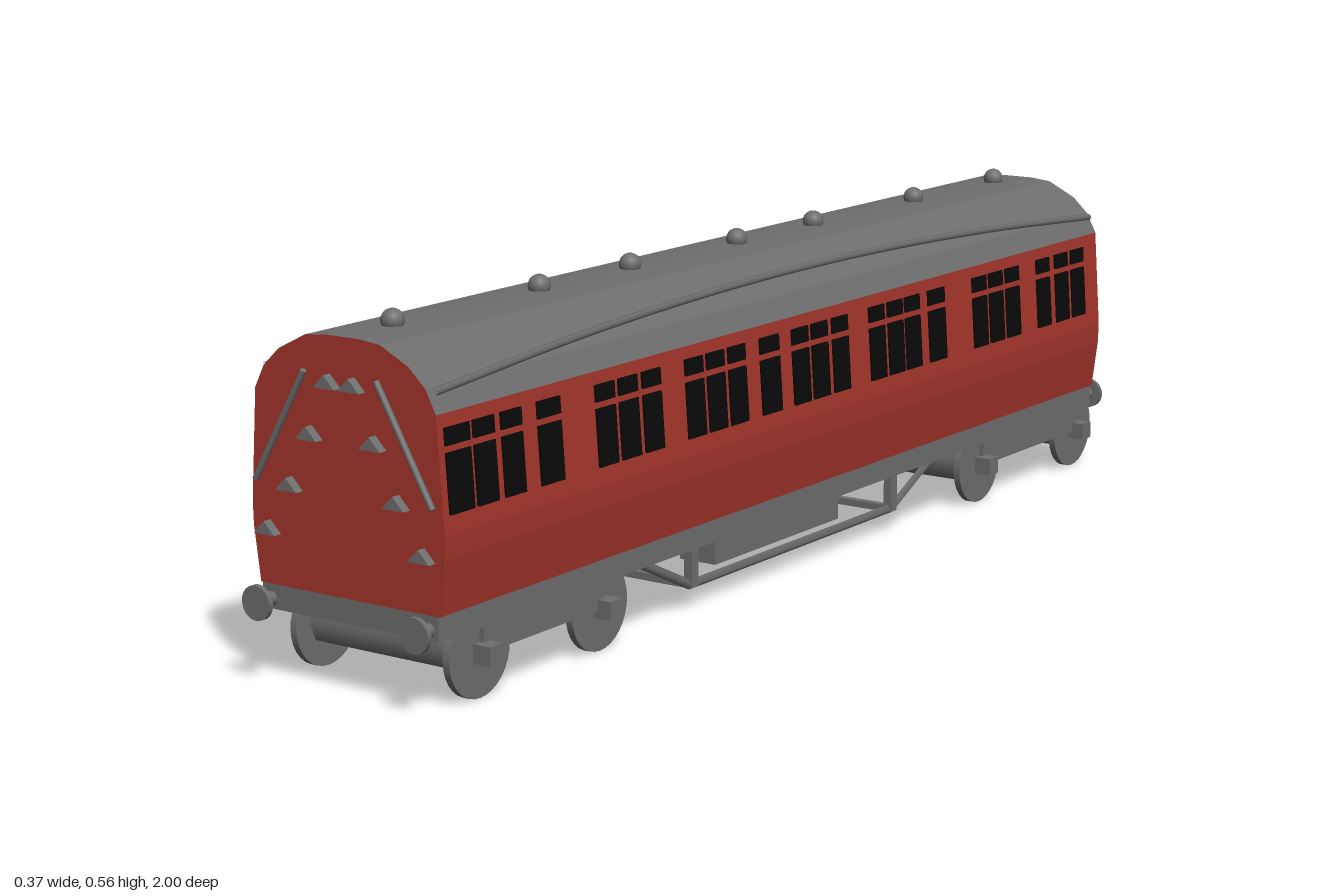
import * as THREE from 'three';

const mat = (name, color) => {
  const m = new THREE.MeshStandardMaterial({ color });
  m.name = name;
  return m;
};

// Half cross-section of the coach, bottom to top
const WALL = [[0.17, 0.15], [0.181, 0.235], [0.182, 0.27], [0.17, 0.443]];
const ROOF = [[0.17, 0.443], [0.152, 0.478], [0.122, 0.506], [0.07, 0.532], [0.03, 0.536]];
const FRONT = 0.965, BACK = -0.97;

// x of the coach skin at height y
function skinX(y) {
  const pts = WALL.concat(ROOF.slice(1));
  for (let i = 1; i < pts.length; i++) {
    const [x0, y0] = pts[i - 1], [x1, y1] = pts[i];
    if (y <= y1) return x0 + (x1 - x0) * (y - y0) / (y1 - y0);
  }
  return 0;
}

export function createModel() {
  const red = mat('coach red', 0xa5362c);
  const grey = mat('frame grey', 0x6e6e6e);
  const black = mat('window black', 0x0a0a0a);
  const pale = mat('pale glass', 0xd8d8d8);
  const model = new THREE.Group();

  const add = (name, geo, material, x = 0, y = 0, z = 0) => {
    const mesh = new THREE.Mesh(geo, material);
    mesh.name = name;
    mesh.position.set(x, y, z);
    model.add(mesh);
    return mesh;
  };
  const box = (name, w, h, d, x, y, z, m = grey) => add(name, new THREE.BoxGeometry(w, h, d), m, x, y, z);
  const bar = (name, a, b, r, sides = 8) => {
    const p = new THREE.Vector3(...a), q = new THREE.Vector3(...b);
    const mesh = add(name, new THREE.CylinderGeometry(r, r, p.distanceTo(q), sides), grey);
    mesh.position.copy(p).add(q).multiplyScalar(0.5);
    mesh.quaternion.setFromUnitVectors(new THREE.Vector3(0, 1, 0), q.sub(p).normalize());
    return mesh;
  };
  const section = half => {
    const pts = half.concat(half.slice().reverse().map(([x, y]) => [-x, y]));
    return new THREE.ExtrudeGeometry(new THREE.Shape(pts.map(p => new THREE.Vector2(...p))),
      { depth: FRONT - BACK, bevelEnabled: false });
  };

  // Body: red walls and ends, grey roof skin
  add('bodyWalls', section(WALL), red, 0, 0, BACK);
  add('roof', section(ROOF), [red, grey], 0, 0, BACK);

  // Roof ventilators
  for (const z of [0.855, 0.51, 0.275, -0.025, -0.258, -0.59, -0.878])
    add('roofVent', new THREE.SphereGeometry(0.018, 16, 12), grey, 0, 0.543, z);

  // Curved rain strips
  for (const s of [1, -1]) {
    const pts = [];
    for (let i = 0; i <= 16; i++) {
      const z = BACK + 0.01 + (FRONT - BACK - 0.02) * i / 16;
      const y = 0.47 + 0.034 * (1 - (z / 0.96) ** 2);
      pts.push(new THREE.Vector3(s * (skinX(y) + 0.004), y + 0.003, z));
    }
    add('rainStrip', new THREE.TubeGeometry(new THREE.CatmullRomCurve3(pts), 48, 0.006, 6), grey);
  }

  // Windows: thin plates leaning with the wall
  const pane = (s, z, y0, y1, w, m) => {
    const y = (y0 + y1) / 2;
    const p = box('window', 0.006, y1 - y0, w, s * (skinX(y) + 0.001), y, z, m);
    p.rotation.z = s * 0.0685;
  };
  const windowAt = (s, z, w, m = black, vent = true) => {
    pane(s, z, 0.298, vent ? 0.387 : 0.395, w, m);
    if (vent) pane(s, z, 0.397, 0.423, w, m);
  };
  for (const z of [0.866, 0.803, 0.578, 0.52, 0.46, 0.347, 0.289, 0.23, 0.048, -0.01, -0.072,
    -0.187, -0.246, -0.302, -0.53, -0.588, -0.647, -0.76, -0.829, -0.89]) windowAt(1, z, 0.047);
  for (const z of [0.925, 0.715, 0.137, -0.382]) windowAt(1, z, 0.054);
  [-0.818, -0.578, -0.24, -0.027, 0.295, 0.538, 0.873].forEach((c, i) => {
    for (const k of [-1, 0, 1]) windowAt(-1, c + k * 0.058, 0.047, black, i % 2 === 0);
  });
  for (const z of [-0.392, 0.143, 0.72]) windowAt(-1, z, 0.054, pale);

  // Front end: handrails and wedge steps
  const wedge = new THREE.ExtrudeGeometry(new THREE.Shape([
    new THREE.Vector2(-0.02, 0), new THREE.Vector2(0.02, 0), new THREE.Vector2(0, 0.02)]),
  { depth: 0.017, bevelEnabled: false });
  for (const s of [1, -1]) {
    bar('endHandrail', [s * 0.167, 0.308, FRONT + 0.008], [s * 0.068, 0.481, FRONT + 0.008], 0.005);
    for (const [x, y] of [[0.146, 0.228], [0.101, 0.299], [0.06, 0.38], [0.023, 0.46]])
      add('endStep', wedge, grey, s * x - 0.002, y, FRONT - 0.002);
  }

  // Underframe and buffers
  box('underframe', 0.334, 0.038, FRONT - BACK, 0, 0.131, (FRONT + BACK) / 2);
  for (const s of [1, -1]) for (const e of [1, -1]) {
    bar('bufferShank', [s * 0.15, 0.128, e * 0.95], [s * 0.15, 0.128, e * 0.994], 0.011, 12);
    bar('bufferHead', [s * 0.15, 0.128, e * 0.992], [s * 0.15, 0.128, e], 0.027, 24);
  }

  // Bogies
  for (const [zA, zB] of [[0.855, 0.565], [-0.58, -0.93]]) {
    box('bogieFrame', 0.28, 0.055, zA - zB, 0, 0.096, (zA + zB) / 2);
    for (const s of [1, -1]) box('bogieSide', 0.016, 0.05, zA - zB, s * 0.152, 0.093, (zA + zB) / 2);
    for (const z of [zA, zB]) {
      bar('axleCasing', [-0.145, 0.074, z], [0.145, 0.074, z], 0.04, 8);
      for (const s of [1, -1]) {
        bar('wheel', [s * 0.14, 0.07, z], [s * 0.152, 0.07, z], 0.07, 32);
        box('axleBox', 0.034, 0.03, 0.03, s * 0.166, 0.07, z);
      }
    }
  }

  // Truss rods, posts and equipment boxes
  for (const s of [1, -1]) {
    const x = s * 0.132;
    bar('trussSlope', [x, 0.118, 0.46], [x, 0.041, 0.3], 0.008, 4);
    bar('trussRod', [x, 0.041, 0.3], [x, 0.041, -0.312], 0.008, 4);
    bar('trussSlope', [x, 0.041, -0.312], [x, 0.118, -0.47], 0.008, 4);
    for (const z of [0.295, -0.307]) box('trussPost', 0.016, 0.08, 0.018, x, 0.077, z);
    box('equipmentBox', 0.07, 0.07, 0.37, s * 0.075, 0.082, 0.012);
  }
  for (const z of [0.295, -0.307]) box('trussCrossbar', 0.264, 0.012, 0.014, 0, 0.041, z);

  return model;
}
